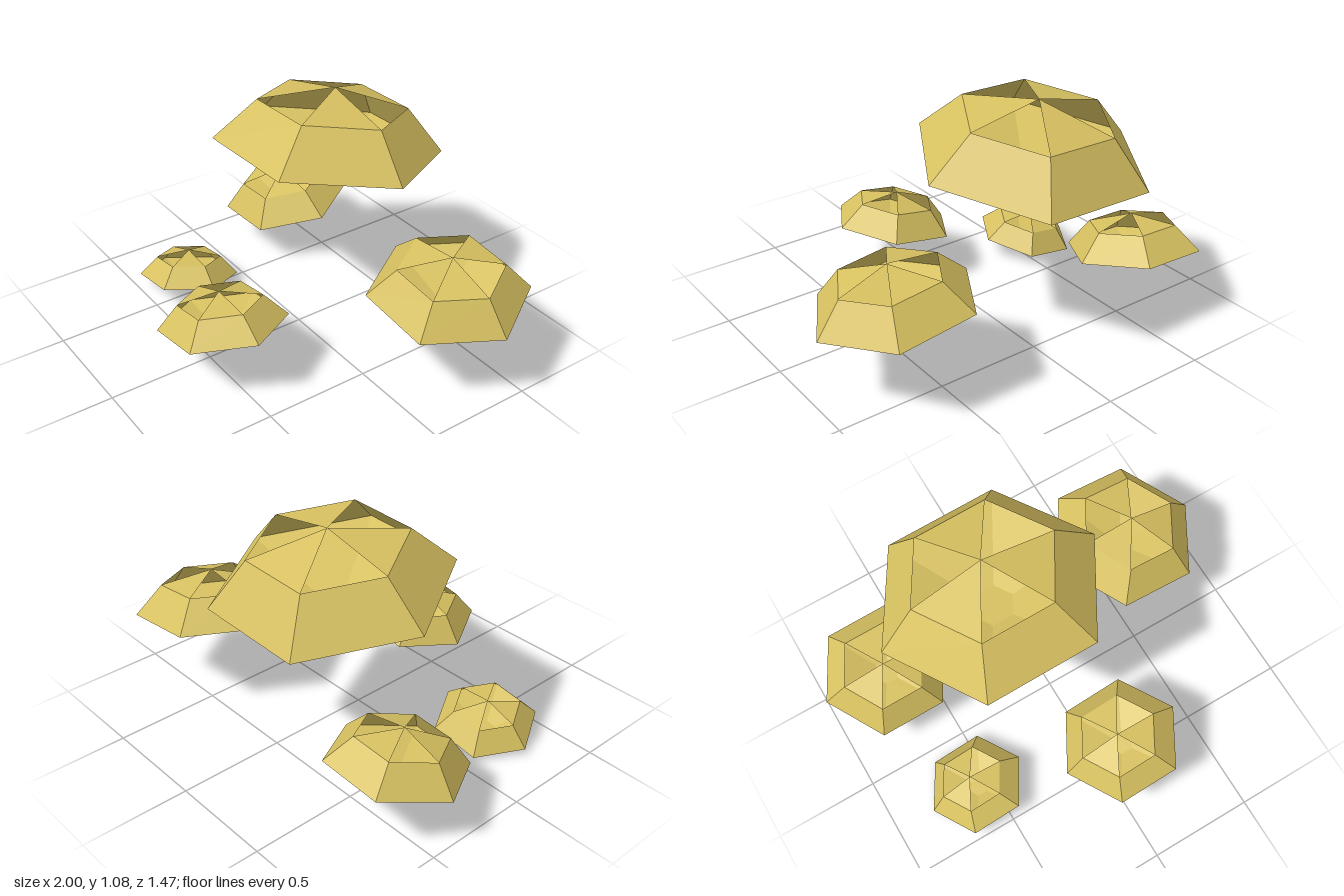
import * as THREE from 'three';

const SIDES = 6;
// Radius and height of each ring, for a clump of unit rim radius
const RINGS = [[0.19, -0.225], [1, 0], [0.65, 0.374]];
const APEX = 0.52;

// Faceted hexagonal dome; every second facet of the crown is left open
function domeGeometry() {
  const pos = [];
  const point = (ring, k) => {
    const a = (k / SIDES) * Math.PI * 2;
    const [r, y] = RINGS[ring];
    return [r * Math.cos(a), y, r * Math.sin(a)];
  };
  const tri = (a, b, c) => pos.push(...a, ...b, ...c);
  for (let k = 0; k < SIDES; k++) {
    // underside slope and upper slope
    for (let ring = 0; ring < 2; ring++) {
      const a = point(ring, k + 1), b = point(ring, k);
      const c = point(ring + 1, k), d = point(ring + 1, k + 1);
      tri(a, b, c);
      tri(a, c, d);
    }
    // base
    tri([0, RINGS[0][1], 0], point(0, k), point(0, k + 1));
    // crown
    if (k % 2 === 0) tri([0, APEX, 0], point(2, k + 1), point(2, k));
  }
  const geo = new THREE.BufferGeometry();
  geo.setAttribute('position', new THREE.Float32BufferAttribute(pos, 3));
  geo.computeVertexNormals();
  return geo;
}

export function createModel() {
  const group = new THREE.Group();
  group.name = 'foliageClumps';
  const gold = new THREE.MeshStandardMaterial({
    color: 0xd6c060, flatShading: true, side: THREE.DoubleSide,
  });
  gold.name = 'goldenLeaf';
  const geo = domeGeometry();

  // Rim centre, rim radius, and slope of the rim along x and z
  const clumps = [
    { name: 'topClump', at: [-0.145, 0.81, -0.27], r: 0.54, slope: [0.023, 0.138] },
    { name: 'leftClump', at: [0.635, 0.39, -0.36], r: 0.37, slope: [-0.116, -0.069] },
    { name: 'rightBackClump', at: [-0.682, 0.245, -0.4], r: 0.32, slope: [0.04, -0.185] },
    { name: 'frontClump', at: [0.1, 0.255, 0.48], r: 0.294, slope: [0.172, 0] },
    { name: 'rightFrontClump', at: [-0.572, 0.065, 0.272], r: 0.241, slope: [0.147, 0.13] },
  ];
  const up = new THREE.Vector3(0, 1, 0);
  for (const { name, at, r, slope } of clumps) {
    const mesh = new THREE.Mesh(geo, gold);
    mesh.name = name;
    mesh.position.set(...at);
    mesh.scale.setScalar(r);
    const normal = new THREE.Vector3(-slope[0], 1, -slope[1]).normalize();
    mesh.quaternion.setFromUnitVectors(up, normal);
    group.add(mesh);
  }
  return group;
}
